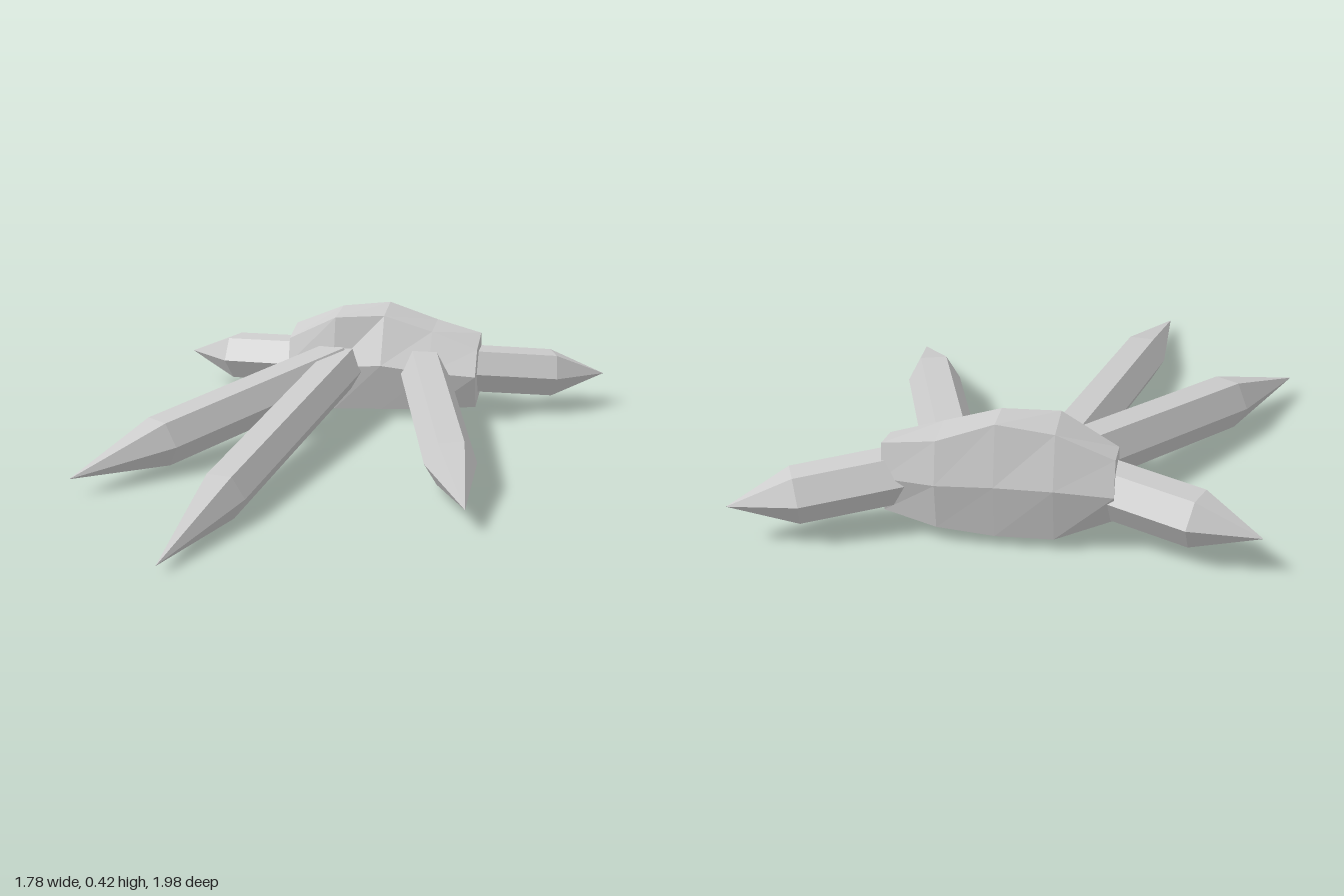
import * as THREE from 'three';

const V = (x, y, z) => new THREE.Vector3(x, y, z);

// Skins a series of equal-sized rings, closing both ends; rings run counter-clockwise about the travel direction
function loft(rings) {
  const pos = [];
  const tri = (a, b, c) => {
    const area = b.clone().sub(a).cross(c.clone().sub(a)).length();
    if (area > 1e-7) for (const p of [a, b, c]) pos.push(p.x, p.y, p.z);
  };
  const n = rings[0].length;
  for (let i = 0; i < rings.length - 1; i++) {
    for (let j = 0; j < n; j++) {
      const k = (j + 1) % n;
      const a = rings[i][j], b = rings[i][k], c = rings[i + 1][k], d = rings[i + 1][j];
      tri(a, b, d);
      tri(b, c, d);
    }
  }
  const first = rings[0], last = rings[rings.length - 1];
  for (let j = 1; j < n - 1; j++) {
    tri(first[0], first[j + 1], first[j]);
    tri(last[0], last[j], last[j + 1]);
  }
  const geo = new THREE.BufferGeometry();
  geo.setAttribute('position', new THREE.Float32BufferAttribute(pos, 3));
  geo.computeVertexNormals();
  return geo;
}

// Six-sided shaft from base to shoulder, ending in a sharp tip
function spikeGeometry(base, shoulder, tip, radius = 0.091) {
  const t = shoulder.clone().sub(base).normalize();
  const u = t.clone().cross(V(0, 1, 0)).normalize();
  const v = t.clone().cross(u);
  const ring = (centre, r) => Array.from({ length: 6 }, (_, k) => {
    const a = (k * Math.PI) / 3;
    return centre.clone().addScaledVector(u, r * Math.cos(a)).addScaledVector(v, r * Math.sin(a));
  });
  return loft([ring(base, radius), ring(shoulder, radius), ring(tip, 0)]);
}

export function createModel() {
  const model = new THREE.Group();
  model.name = 'spikedClaw';
  const stone = new THREE.MeshStandardMaterial({ color: 0xcccccc, flatShading: true });
  stone.name = 'paleGrey';

  const add = (name, geo) => {
    const mesh = new THREE.Mesh(geo, stone);
    mesh.name = name;
    model.add(mesh);
  };

  // Knuckle body: [x, then z, y of top back, top front, front, bottom front, bottom back, back]
  const stations = [
    [-0.34, -0.865, 0.31, -0.72, 0.287, -0.69, 0.19, -0.72, 0.09, -0.85, 0.09, -0.91, 0.2],
    [-0.15, -0.87, 0.39, -0.69, 0.39, -0.645, 0.2, -0.67, 0.02, -0.90, 0.035, -0.93, 0.22],
    [0.04, -0.87, 0.415, -0.715, 0.4, -0.63, 0.22, -0.67, 0.03, -0.90, 0.035, -0.925, 0.22],
    [0.23, -0.88, 0.35, -0.715, 0.345, -0.635, 0.2, -0.67, 0.04, -0.89, 0.05, -0.915, 0.21],
    [0.41, -0.84, 0.315, -0.70, 0.285, -0.645, 0.19, -0.69, 0.055, -0.83, 0.07, -0.865, 0.2],
  ];
  add('knuckleBody', loft(stations.map(([x, ...p]) =>
    Array.from({ length: 6 }, (_, k) => V(x, p[2 * k + 1], p[2 * k])))));

  // Three forward fingers
  add('longFinger', spikeGeometry(V(-0.11, 0.2, -0.75), V(-0.325, 0.078, 0.48), V(-0.41, 0.03, 0.985)));
  add('outerFinger', spikeGeometry(V(-0.145, 0.195, -0.69), V(-0.66, 0.105, 0.06), V(-0.895, 0.065, 0.39), 0.096));
  add('shortFinger', spikeGeometry(V(0.19, 0.2, -0.74), V(0.415, 0.113, 0.115), V(0.51, 0.085, 0.47), 0.094));

  // Side spurs sweeping backward
  add('rightSpur', spikeGeometry(V(-0.28, 0.183, -0.79), V(-0.602, 0.146, -0.908), V(-0.81, 0.13, -0.985), 0.095));
  add('leftSpur', spikeGeometry(V(0.36, 0.183, -0.79), V(0.685, 0.146, -0.908), V(0.89, 0.13, -0.985), 0.095));

  return model;
}
